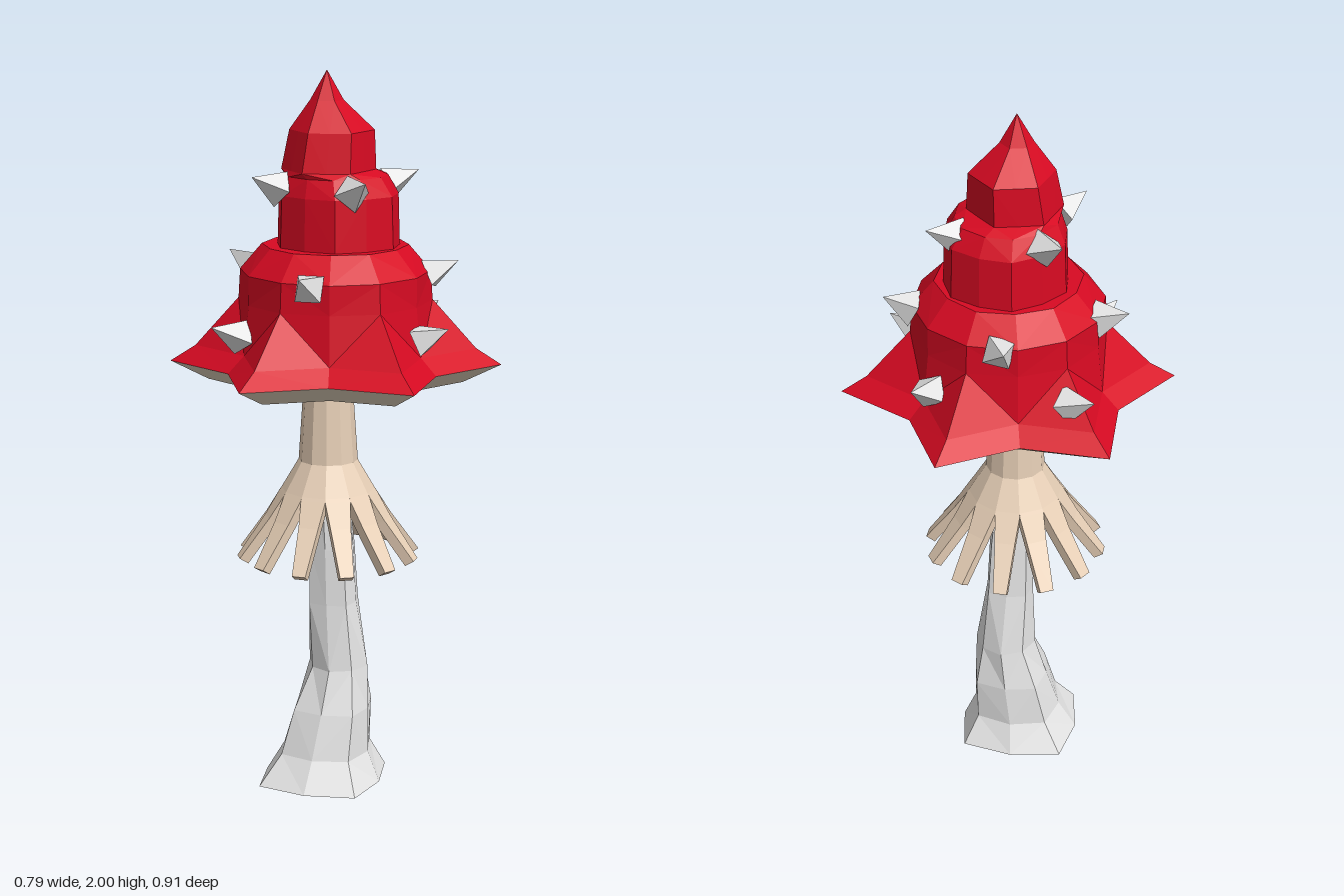
import * as THREE from 'three';

const mat = (name, color, side = THREE.FrontSide) => {
  const m = new THREE.MeshStandardMaterial({ color, side, flatShading: true });
  m.name = name;
  return m;
};

// Ring of n points at height y; odd corners use a second radius
function ring(y, even, odd, cx = 0, n = 12) {
  return Array.from({ length: n }, (_, i) => {
    const a = (i / n) * Math.PI * 2;
    const r = i % 2 ? odd : even;
    return [cx + r * Math.sin(a), y, r * Math.cos(a)];
  });
}

// Faceted skin through a list of rings, optionally closed at both ends
function loft(rings, capped = false) {
  const n = rings[0].length;
  const index = [];
  for (let i = 0; i < rings.length - 1; i++) {
    for (let j = 0; j < n; j++) {
      const k = (j + 1) % n;
      const a = i * n + j, b = i * n + k, c = b + n, d = a + n;
      // mirrored diagonals keep every lobe symmetrical
      if (j % 2) index.push(a, b, c, a, c, d);
      else index.push(a, b, d, b, c, d);
    }
  }
  if (capped) {
    const top = (rings.length - 1) * n;
    for (let j = 1; j < n - 1; j++) {
      index.push(0, j + 1, j, top, top + j, top + j + 1);
    }
  }
  const g = new THREE.BufferGeometry();
  g.setAttribute('position', new THREE.Float32BufferAttribute(rings.flat(2), 3));
  g.setIndex(index);
  const flat = g.toNonIndexed();
  flat.computeVertexNormals();
  return flat;
}

export function createModel() {
  const model = new THREE.Group();
  model.name = 'spikedMushroom';

  const red = mat('capRed', 0xd80a22);
  const gill = mat('gillCream', 0xe2d3be, THREE.DoubleSide);
  const tan = mat('skirtTan', 0xebd3ba, THREE.DoubleSide);
  const pale = mat('stalkWhite', 0xf2f2f2, THREE.DoubleSide);
  const spikeMat = mat('spikeGrey', 0xe4e4e4);

  const add = (name, geometry, material, parent = model) => {
    const m = new THREE.Mesh(geometry, material);
    m.name = name;
    parent.add(m);
    return m;
  };

  // Stalk: open lobed foot narrowing to a slightly bent column
  add('stalk', loft([
    ring(0, 0.2, 0.168, -0.04, 8),
    ring(0.085, 0.14, 0.125, -0.03, 8),
    ring(0.21, 0.122, 0.105, -0.008, 8),
    ring(0.33, 0.082, 0.086, 0.01, 8),
    ring(0.52, 0.076, 0.066, -0.005, 8),
    ring(0.68, 0.07, 0.062, -0.01, 8),
    ring(0.92, 0.055, 0.055, -0.024, 8),
  ]), pale);

  // Skirt: collar under the cap, spreading into twelve fingers
  const skirt = new THREE.Group();
  skirt.name = 'skirt';
  skirt.position.x = -0.022;
  model.add(skirt);
  add('collar', loft([
    ring(0.84, 0.135, 0.135),
    ring(0.93, 0.082, 0.082),
    ring(1.2, 0.064, 0.064),
    ring(1.3, 0.064, 0.064),
  ]), tan, skirt);

  const fingerPath = [ // radius, height, half width of the outer face
    [0.08, 0.92, 0.019],
    [0.131, 0.84, 0.035],
    [0.172, 0.775, 0.028],
    [0.254, 0.662, 0.019],
  ];
  const fingerGeometry = loft(fingerPath.map(([r, y, w]) => [
    [w, y, r], [-w, y, r],
    [-w, y - 0.015, r - 0.024], [w, y - 0.015, r - 0.024],
  ]), true);
  for (let i = 0; i < 12; i++) {
    add('skirtFinger', fingerGeometry, tan, skirt).rotation.y = ((i + 0.5) * Math.PI) / 6;
  }

  // Underside of the cap, hollow with a thick star-shaped lip
  add('capUnderside', loft([
    ring(1.25, 0.05, 0.05),
    ring(1.15, 0.35, 0.25),
    ring(1.2, 0.455, 0.323),
  ]), gill);

  // Cap: six-pointed brim and stacked, leaning tiers
  add('cap', loft([
    ring(1.2, 0.455, 0.323),
    ring(1.245, 0.385, 0.275),
    ring(1.38, 0.265, 0.26),
    ring(1.46, 0.26, 0.26),
    ring(1.53, 0.2, 0.195),
    ring(1.53, 0.166, 0.175, 0.01),
    ring(1.67, 0.162, 0.17, 0.01),
    ring(1.72, 0.14, 0.142, 0.003),
    ring(1.735, 0.128, 0.112, -0.02),
    ring(1.84, 0.115, 0.1, -0.01),
    ring(1.92, 0.045, 0.039, -0.025),
    ring(2.0, 0, 0, -0.025),
  ]), red);

  // Spikes: base x, z, then tip x, z, in three tiers
  const tiers = [
    [1.295, [[0.025, -0.295, 0, -0.385], [-0.275, -0.012, -0.375, 0.01],
      [0.275, -0.04, 0.358, -0.065], [0.125, 0.25, 0.18, 0.312]]],
    [1.45, [[-0.145, -0.2, -0.19, -0.278], [0.165, -0.19, 0.203, -0.265],
      [0.22, 0.125, 0.29, 0.167], [-0.172, 0.19, -0.23, 0.246]]],
    [1.685, [[0, -0.15, 0.003, -0.24], [-0.153, -0.02, -0.24, -0.018],
      [0.14, 0.028, 0.233, 0.042], [-0.028, 0.15, -0.03, 0.235]]],
  ];
  const up = new THREE.Vector3(0, 1, 0);
  for (const [y, list] of tiers) {
    for (const [bx, bz, tx, tz] of list) {
      const base = new THREE.Vector3(bx, y, bz);
      const tip = new THREE.Vector3(tx, y + 0.038, tz);
      const dir = tip.clone().sub(base);
      const spike = add('spike', new THREE.ConeGeometry(0.051, dir.length(), 4), spikeMat);
      spike.position.copy(base).add(tip).multiplyScalar(0.5);
      spike.quaternion.setFromUnitVectors(up, dir.normalize());
    }
  }
  return model;
}
